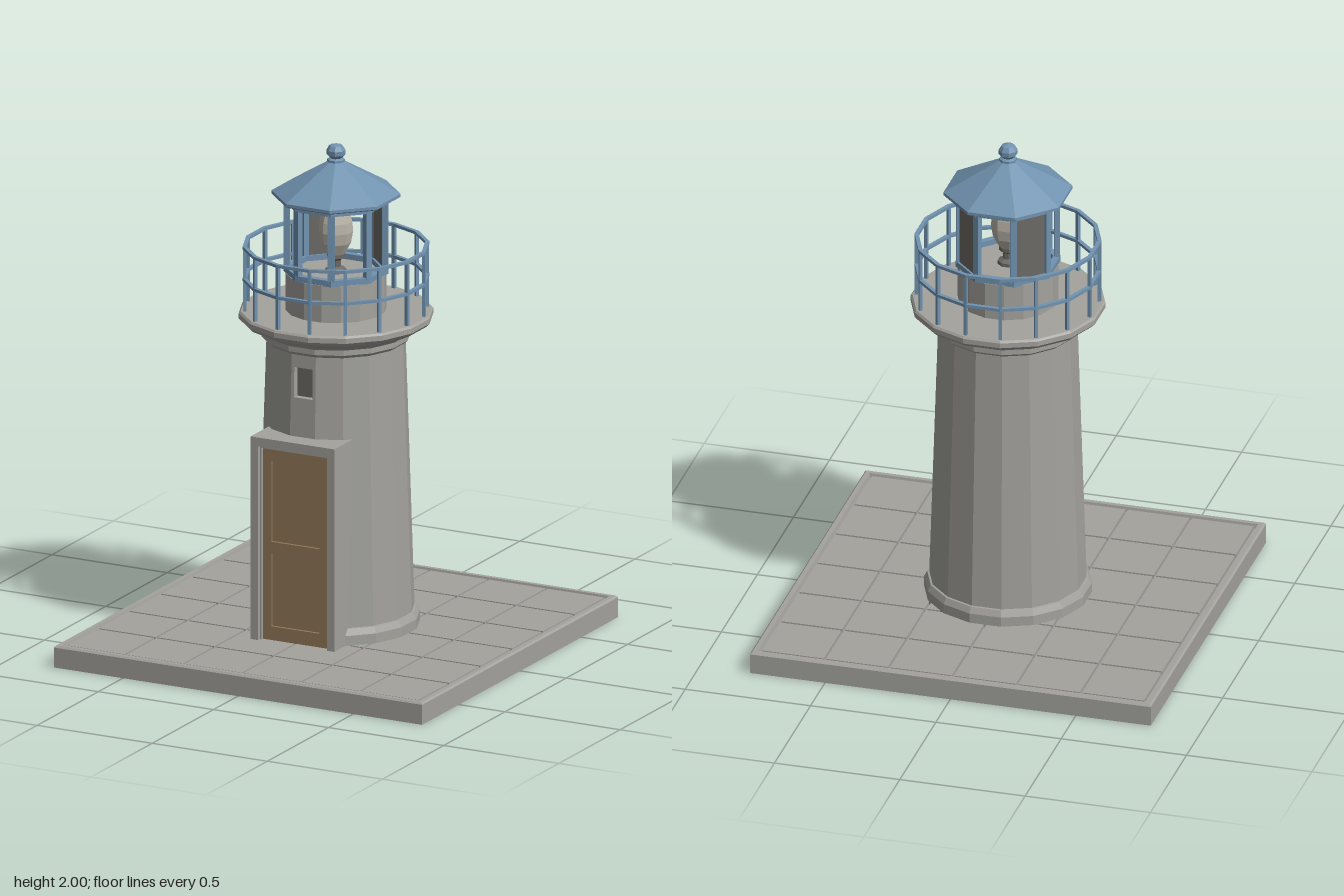
import * as THREE from 'three';

const mat = (name, color) => {
  const m = new THREE.MeshStandardMaterial({ color });
  m.name = name;
  return m;
};

export function createModel() {
  const stone = mat('stone', 0xa3a29d);
  const blue = mat('blue paint', 0x7193b0);
  const wood = mat('wood', 0x947a5a);
  const dark = mat('dark panel', 0x6c6a65);
  const lampGlass = mat('lamp glass', 0xbab5aa);
  const model = new THREE.Group();
  model.name = 'lighthouse';

  // Adds a faceted mesh
  const add = (name, geo, material, x = 0, y = 0, z = 0, parent = model) => {
    const g = geo.index ? geo.toNonIndexed() : geo;
    g.computeVertexNormals();
    const mesh = new THREE.Mesh(g, material);
    mesh.name = name;
    mesh.position.set(x, y, z);
    parent.add(mesh);
    return mesh;
  };
  const group = (name) => {
    const g = new THREE.Group();
    g.name = name;
    model.add(g);
    return g;
  };
  // Turned shape with a flat side facing the front
  const turned = (pts, sides) => new THREE.LatheGeometry(
    pts.map(([r, y]) => new THREE.Vector2(r, y)), sides, Math.PI / sides);
  const ring = (r0, r1, y0, y1, sides) =>
    turned([[r0, y0], [r1, y0], [r1, y1], [r0, y1], [r0, y0]], sides);
  const poly = (pts, Kind = THREE.Shape) => new Kind(pts.map(([x, y]) => new THREE.Vector2(x, y)));
  const rect = (x0, y0, x1, y1, Kind) => poly([[x0, y0], [x1, y0], [x1, y1], [x0, y1]], Kind);
  const slab = (shape, holes, depth) => {
    shape.holes.push(...holes);
    return new THREE.ExtrudeGeometry(shape, { depth, bevelEnabled: false });
  };
  const box = (w, h, d) => new THREE.BoxGeometry(w, h, d);

  // Platform with rim and paving
  const platform = group('platform');
  add('platformBase', box(1.6, 0.068, 1.6), stone, 0, 0.034, 0, platform);
  const c = Math.SQRT2;
  const rim = turned([[0.77 * c, 0.066], [0.8 * c, 0.066], [0.8 * c, 0.08],
    [0.793 * c, 0.087], [0.775 * c, 0.087], [0.77 * c, 0.066]], 4);
  add('platformRim', rim, stone, 0, 0, 0, platform);
  for (let i = 0; i < 6; i++) {
    for (let j = 0; j < 6; j++) {
      add('pavingSlab', box(0.245, 0.02, 0.245), stone, (i - 2.5) * 0.2553, 0.073, (j - 2.5) * 0.2553, platform);
    }
  }

  // Tapered tower: fifteen sides, plus a front side pierced by a window
  const tower = group('tower');
  const y0 = 0.08, y1 = 1.235, rB = 0.305, rT = 0.268, h = y1 - y0;
  add('towerWall', new THREE.CylinderGeometry(rT, rB, h, 15, 1, true, Math.PI / 16, Math.PI * 15 / 8),
    stone, 0, (y0 + y1) / 2, 0, tower);
  const s = Math.sin(Math.PI / 16), k = Math.cos(Math.PI / 16);
  const lean = Math.atan(((rB - rT) * k) / h), len = h / Math.cos(lean), depth = 0.035;
  const front = slab(
    poly([[-rB * s, 0], [rB * s, 0], [rT * s, len], [-rT * s, len]]),
    [rect(-0.04, 0.97, 0.04, 1.09, THREE.Path)], depth);
  front.translate(0, 0, -depth);
  add('towerFrontWall', front, stone, 0, y0, rB * k, tower).rotation.x = -lean;
  add('windowPane', box(0.09, 0.13, 0.008), dark, 0, 1.11, 0.237, tower);
  add('plinth', turned([[0.29, 0.07], [0.323, 0.07], [0.323, 0.122], [0.311, 0.146], [0.29, 0.15]], 16),
    stone, 0, 0, 0, tower);

  // Flared gallery deck
  add('galleryDeck', turned([[0.26, 1.215], [0.277, 1.225], [0.287, 1.235], [0.287, 1.256], [0.297, 1.264],
    [0.36, 1.295], [0.375, 1.31], [0.375, 1.33], [0.368, 1.338], [0, 1.338]], 16), stone);

  // Gallery railing
  const railing = group('railing');
  for (const y of [1.465, 1.592]) add('rail', ring(0.344, 0.36, y - 0.006, y + 0.006, 16), blue, 0, 0, 0, railing);
  for (let i = 0; i < 16; i++) {
    const a = (i + 0.5) * Math.PI / 8;
    add('railPost', box(0.013, 0.26, 0.013), blue,
      0.352 * Math.sin(a), 1.462, 0.352 * Math.cos(a), railing).rotation.y = a;
  }

  // Doorway block with stepped surround
  const doorway = group('doorway');
  const arch = (outW, outH, inW, inH, d) => slab(
    poly([[-outW, 0.08], [-inW, 0.08], [-inW, inH], [inW, inH], [inW, 0.08], [outW, 0.08], [outW, outH], [-outW, outH]]), [], d);
  add('doorFrame', arch(0.182, 0.895, 0.15, 0.86, 0.205), stone, 0, 0, 0.15, doorway);
  add('innerFrame', arch(0.152, 0.862, 0.142, 0.85, 0.19), stone, 0, 0, 0.15, doorway);
  const leaf = slab(rect(-0.142, 0.082, 0.142, 0.85),
    [rect(-0.105, 0.477, 0.105, 0.8, THREE.Path), rect(-0.105, 0.138, 0.105, 0.43, THREE.Path)], 0.012);
  add('doorLeaf', leaf, wood, 0, 0, 0.318, doorway);
  add('doorPanels', box(0.284, 0.768, 0.02), wood, 0, 0.466, 0.309, doorway);

  // Lantern room
  const lantern = group('lantern');
  add('lanternBase', turned([[0.194, 1.33], [0.194, 1.486], [0, 1.486]], 16), stone, 0, 0, 0, lantern);
  add('lanternSill', ring(0.175, 0.203, 1.484, 1.508, 8), blue, 0, 0, 0, lantern);
  add('lanternHead', ring(0.175, 0.203, 1.765, 1.795, 8), blue, 0, 0, 0, lantern);
  for (let i = 0; i < 8; i++) {
    const a = (i + 0.5) * Math.PI / 4;
    add('lanternPost', box(0.026, 0.27, 0.022), blue,
      0.189 * Math.sin(a), 1.636, 0.189 * Math.cos(a), lantern).rotation.y = a;
  }
  for (const a of [Math.PI * 0.75, Math.PI * 1.25]) {
    add('blindPanel', box(0.14, 0.27, 0.009), dark,
      0.175 * Math.sin(a), 1.636, 0.175 * Math.cos(a), lantern).rotation.y = a;
  }

  // Lamp on its stand
  add('lampStand', turned([[0.04, 1.486], [0.04, 1.5], [0.02, 1.51], [0.02, 1.535], [0.034, 1.545],
    [0.034, 1.56], [0.015, 1.565], [0, 1.565]], 8), dark, 0, 0, 0, lantern);
  add('lamp', turned([[0, 1.558], [0.034, 1.56], [0.058, 1.605], [0.066, 1.65], [0.063, 1.69], [0.052, 1.728], [0, 1.73]], 8),
    lampGlass, 0, 0, 0, lantern);

  // Roof and finial
  add('roof', turned([[0, 1.785], [0.238, 1.787], [0.249, 1.793], [0.249, 1.805], [0.032, 1.93], [0, 1.935]], 8), blue);
  add('finialNeck', turned([[0.034, 1.925], [0.034, 1.938], [0.02, 1.945], [0.02, 1.955]], 8), blue);
  add('finialBall', turned([[0, 1.937], [0.022, 1.942], [0.036, 1.957], [0.037, 1.975], [0.026, 1.993], [0, 2]], 8), blue);

  return model;
}
